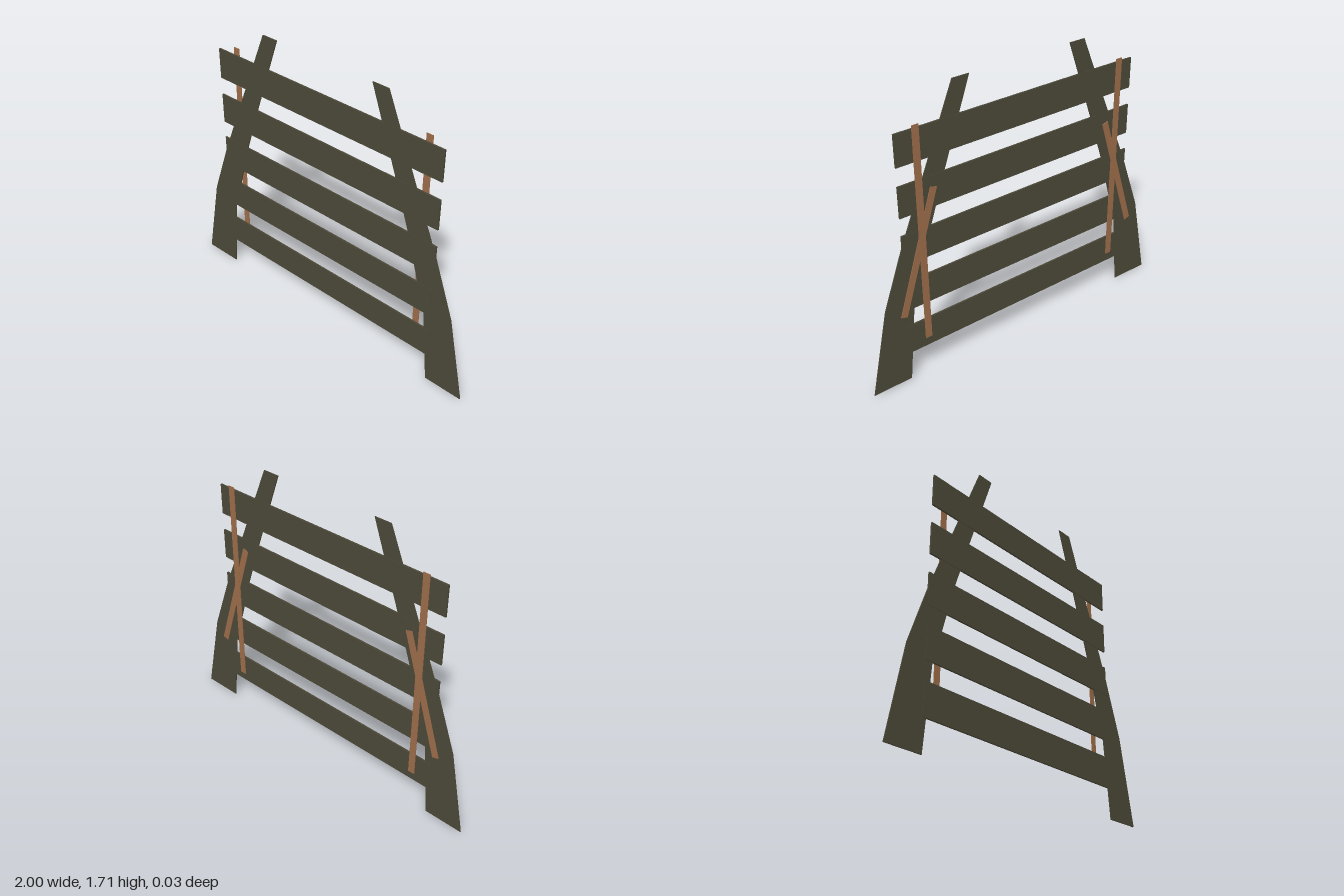
import * as THREE from 'three';

export function createModel() {
  const model = new THREE.Group();
  const darkWood = new THREE.MeshStandardMaterial({ color: 0x4b4838 });
  darkWood.name = 'darkWood';
  const brownWood = new THREE.MeshStandardMaterial({ color: 0x9c6b48 });
  brownWood.name = 'brownWood';

  function add(name, geometry, material, x, y, z, turn = 0) {
    const mesh = new THREE.Mesh(geometry, material);
    mesh.name = name;
    mesh.position.set(x, y, z);
    mesh.rotation.z = turn;
    model.add(mesh);
  }

  // Tapered, bent legs: outer edge going up, inner edge coming down
  const outline = [
    [1, 0], [0.893, 0.515], [0.77, 0.855], [0.42, 1.705],
    [0.32, 1.705], [0.49, 1.22], [0.585, 0.935], [0.665, 0.65], [0.72, 0.465], [0.765, 0],
  ];
  for (const side of [1, -1]) {
    const points = outline.map(([x, y]) => new THREE.Vector2(side * x - (y > 0 ? 0.004 : 0), y));
    const leg = new THREE.ExtrudeGeometry(new THREE.Shape(points), { depth: 0.006, bevelEnabled: false });
    add(side > 0 ? 'leftLeg' : 'rightLeg', leg, darkWood, 0, 0, 0.008);
  }

  // Five horizontal slats
  for (let i = 0; i < 5; i++) {
    add('slat' + (i + 1), new THREE.BoxGeometry(1.535, 0.182, 0.01), darkWood, -0.007, 0.27 + i * 0.2875, 0.011);
  }

  // Upright and slanted battens on the back
  const top = [0.575, 1.17], foot = [0.8, 0.45];
  const dx = foot[0] - top[0], dy = top[1] - foot[1];
  for (const side of [1, -1]) {
    const word = side > 0 ? 'left' : 'right';
    add(word + 'Upright', new THREE.BoxGeometry(0.04, 1.29, 0.004), brownWood, side * 0.657 - 0.006, 0.895, -0.014);
    add(word + 'Brace', new THREE.BoxGeometry(0.04, Math.hypot(dx, dy), 0.004), brownWood,
      side * (top[0] + foot[0]) / 2 - 0.008, (top[1] + foot[1]) / 2, -0.013, side * Math.atan2(dx, dy));
  }
  return model;
}
